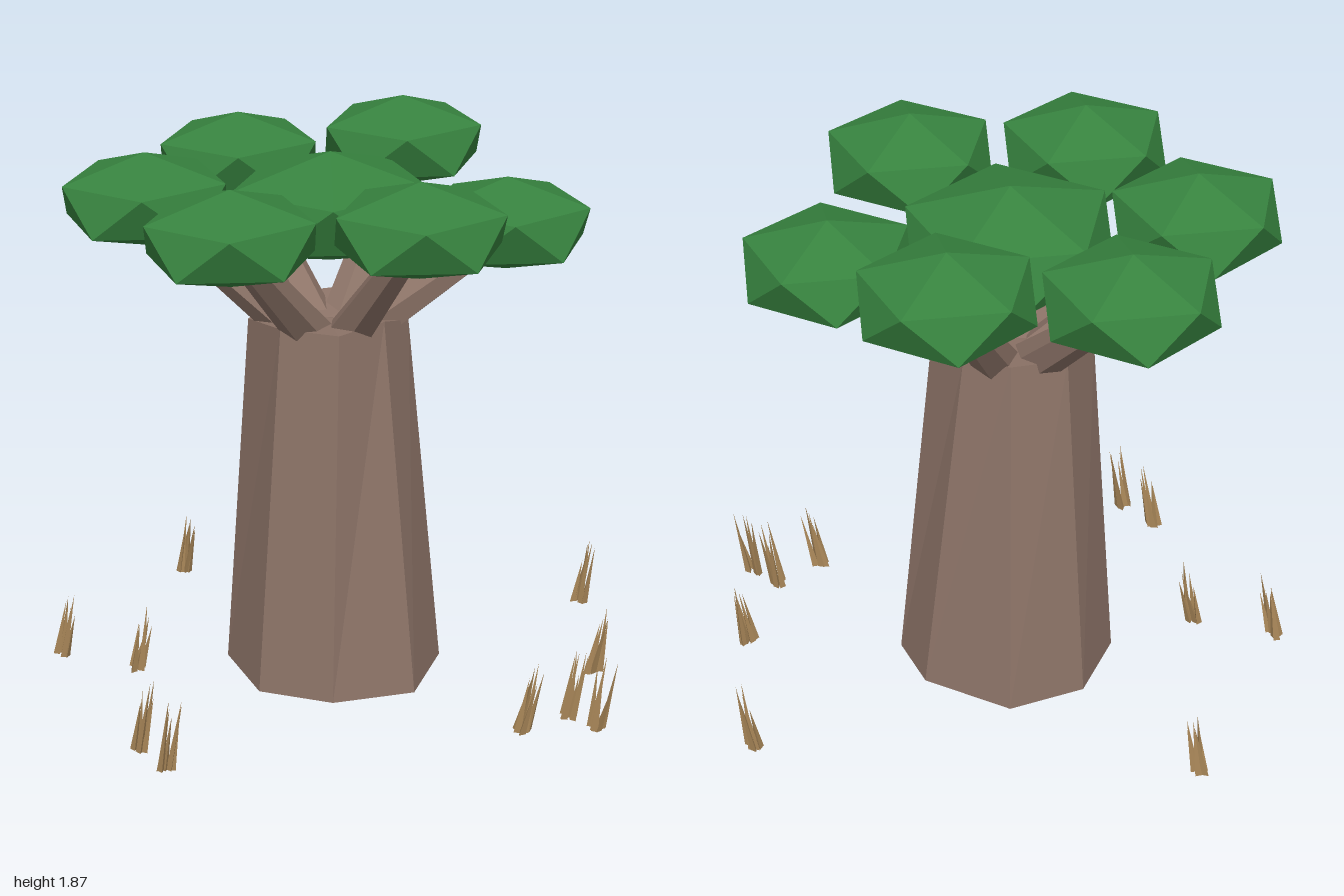
import * as THREE from 'three';

export function createModel() {
  const model = new THREE.Group();
  model.name = 'tree';
  const material = (name, color, extra = {}) =>
    Object.assign(new THREE.MeshStandardMaterial({ color, flatShading: true, ...extra }), { name });
  const bark = material('bark', 0x8d7468, { side: THREE.DoubleSide });
  const leaf = material('leaf', 0x37833f);
  const straw = material('dry grass', 0xa88658, { side: THREE.DoubleSide });

  const add = (name, geometry, mat, parent = model) => {
    const mesh = new THREE.Mesh(geometry, mat);
    mesh.name = name;
    parent.add(mesh);
    return mesh;
  };
  let seed = 7;
  const random = () => (seed = (seed * 16807) % 2147483647) / 2147483647;

  // Trunk: uneven eight-sided taper, open underneath
  const base = [[-0.22, 0, 0.28], [0.045, 0, 0.3], [0.29, 0, 0.15], [0.31, 0.02, -0.13],
    [0.19, 0.015, -0.31], [-0.12, 0, -0.4], [-0.35, 0, -0.25], [-0.41, 0, 0.03]];
  const rim = [[-0.165, 1.27, 0.18], [0.04, 1.27, 0.2], [0.155, 1.285, 0.06], [0.19, 1.235, -0.13],
    [0.06, 1.27, -0.26], [-0.1, 1.28, -0.28], [-0.27, 1.27, -0.19], [-0.33, 1.235, 0]];
  const middle = [-0.07, 1.25, -0.04];
  const points = [];
  base.forEach((a, i) => {
    const j = (i + 1) % base.length;
    points.push(...a, ...base[j], ...rim[j], ...a, ...rim[j], ...rim[i]);
    points.push(...rim[i], ...rim[j], ...middle);
  });
  const trunk = new THREE.BufferGeometry();
  trunk.setAttribute('position', new THREE.Float32BufferAttribute(points, 3));
  trunk.computeVertexNormals();
  add('trunk', trunk, bark);

  // Leaf clump shape: flattened icosahedron standing on a corner
  const clump = new THREE.IcosahedronGeometry(1, 0);
  clump.rotateX(-Math.atan2((1 + Math.sqrt(5)) / 2, 1));
  clump.rotateY(Math.PI / 2);
  const addClump = (name, [x, y, z], sx, sy, sz) => {
    const mesh = add(name, clump, leaf);
    mesh.position.set(x, y, z);
    mesh.scale.set(sx, sy, sz);
  };
  addClump('centreLeaves', [-0.06, 1.63, -0.06], 0.38, 0.185, 0.41);

  // Outer clumps, each carried by a tapered branch
  const up = new THREE.Vector3(0, 1, 0);
  const outer = [[0.04, 1.717, -0.635], [-0.5, 1.665, -0.46], [-0.64, 1.66, 0.12],
    [-0.22, 1.675, 0.53], [0.34, 1.69, 0.34], [0.5, 1.57, -0.22]];
  for (const c of outer) {
    addClump('outerLeaves', c, 0.31, 0.157, 0.328);
    const out = new THREE.Vector3(c[0] + 0.06, 0, c[2] + 0.05);
    const reach = out.length();
    out.normalize();
    const foot = new THREE.Vector3(-0.06, 1.2, -0.05).addScaledVector(out, 0.1);
    const tip = new THREE.Vector3(-0.06, c[1] - 0.06, -0.05).addScaledVector(out, reach * 0.92);
    const along = tip.clone().sub(foot);
    const branch = add('branch', new THREE.CylinderGeometry(0.048, 0.078, along.length(), 6), bark);
    branch.position.copy(foot).add(tip).multiplyScalar(0.5);
    branch.quaternion.setFromUnitVectors(up, along.normalize());
  }

  // Dry grass tufts: thin three-sided blades leaning to one side
  const tufts = [[0.7, -0.75], [-0.78, -0.62], [0.86, -0.17], [0.84, 0.19], [0.94, 0.25],
    [0.71, 0.34], [-0.96, 0.17], [-0.67, 0.22], [-0.46, 0.79], [-0.335, 0.89]];
  for (const [x, z] of tufts) {
    const tuft = new THREE.Group();
    tuft.name = 'grassTuft';
    tuft.position.set(x, 0, z);
    model.add(tuft);
    for (let i = 0; i < 6; i++) {
      const h = 0.16 + 0.1 * random();
      const blade = new THREE.ConeGeometry(0.014, h, 3, 1, true);
      blade.rotateY(random() * 6);
      blade.translate(0, h / 2, 0);
      const leanX = 0.02 + 0.03 * random(), leanZ = 0.02 * (random() - 0.5);
      const p = blade.attributes.position;
      for (let k = 0; k < p.count; k++) {
        const t = p.getY(k) / h;
        p.setX(k, p.getX(k) + leanX * t);
        p.setZ(k, p.getZ(k) + leanZ * t);
      }
      blade.computeVertexNormals();
      add('blade', blade, straw, tuft).position.set(
        -0.03 + 0.04 * (i / 5), 0, (random() - 0.5) * 0.05);
    }
  }
  return model;
}
